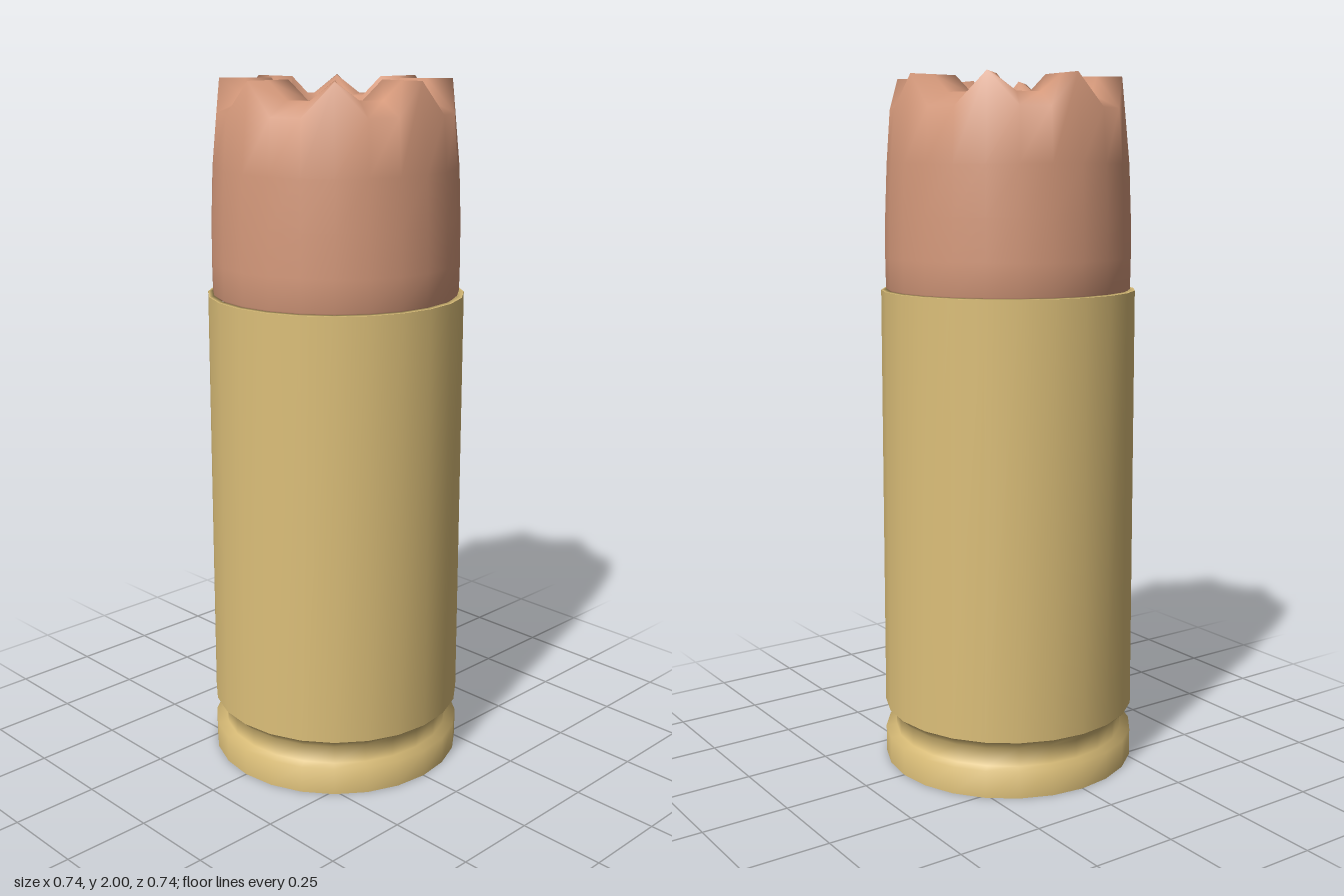
import * as THREE from 'three';

const SIDES = 24;

// Smooth surface through rings listed from the bottom outside to the top and inward.
// Each ring is [radius, y] with an optional [tipRadius, tipY] used on every third column.
function ringSurface(rings) {
  const pos = [], index = [];
  for (const [r, y, tipR = r, tipY = y] of rings) {
    for (let i = 0; i < SIDES; i++) {
      const a = (i / SIDES) * Math.PI * 2;
      const tip = i % 3 === 0;
      const rad = tip ? tipR : r;
      pos.push(Math.sin(a) * rad, tip ? tipY : y, Math.cos(a) * rad);
    }
  }
  for (let j = 0; j < rings.length - 1; j++) {
    for (let i = 0; i < SIDES; i++) {
      const n = (i + 1) % SIDES;
      const a = j * SIDES + i, b = j * SIDES + n;
      const c = (j + 1) * SIDES + n, d = (j + 1) * SIDES + i;
      index.push(a, b, c, a, c, d);
    }
  }
  const geo = new THREE.BufferGeometry();
  geo.setAttribute('position', new THREE.Float32BufferAttribute(pos, 3));
  geo.setIndex(index);
  geo.computeVertexNormals();
  return geo;
}

export function createModel() {
  const model = new THREE.Group();
  const brass = new THREE.MeshStandardMaterial({ color: 0xdcbf79 });
  brass.name = 'brass';
  const copper = new THREE.MeshStandardMaterial({ color: 0xd5997b });
  copper.name = 'copper';

  const add = (name, geo, mat) => {
    const mesh = new THREE.Mesh(geo, mat);
    mesh.name = name;
    model.add(mesh);
  };

  // flat underside
  const base = new THREE.CircleGeometry(0.372, SIDES);
  base.rotateX(Math.PI / 2);
  add('base', base, brass);

  // rim and extractor groove
  add('rim', ringSurface([
    [0.372, 0], [0.372, 0.08], [0.34, 0.082], [0.34, 0.135], [0.372, 0.165],
  ]), brass);

  // case wall
  add('caseWall', ringSurface([[0.372, 0.165], [0.367, 1.405]]), brass);

  // case mouth
  add('caseMouth', ringSurface([[0.367, 1.405], [0.354, 1.407], [0.352, 1.36]]), brass);

  // hollow-point bullet: body, eight notched ridges, then the cavity
  add('bullet', ringSurface([
    [0.335, 1.395],
    [0.353, 1.41],
    [0.354, 1.5],
    [0.352, 1.62],
    [0.346, 1.76],
    [0.335, 1.91, 0.322, 2],
    [0.252, 1.95, 0.25, 2],
    [0.145, 1.945, 0.177, 2],
    [0.138, 1.86],
    [0.115, 1.76],
    [0.065, 1.69],
    [0, 1.67],
  ]), copper);

  return model;
}
